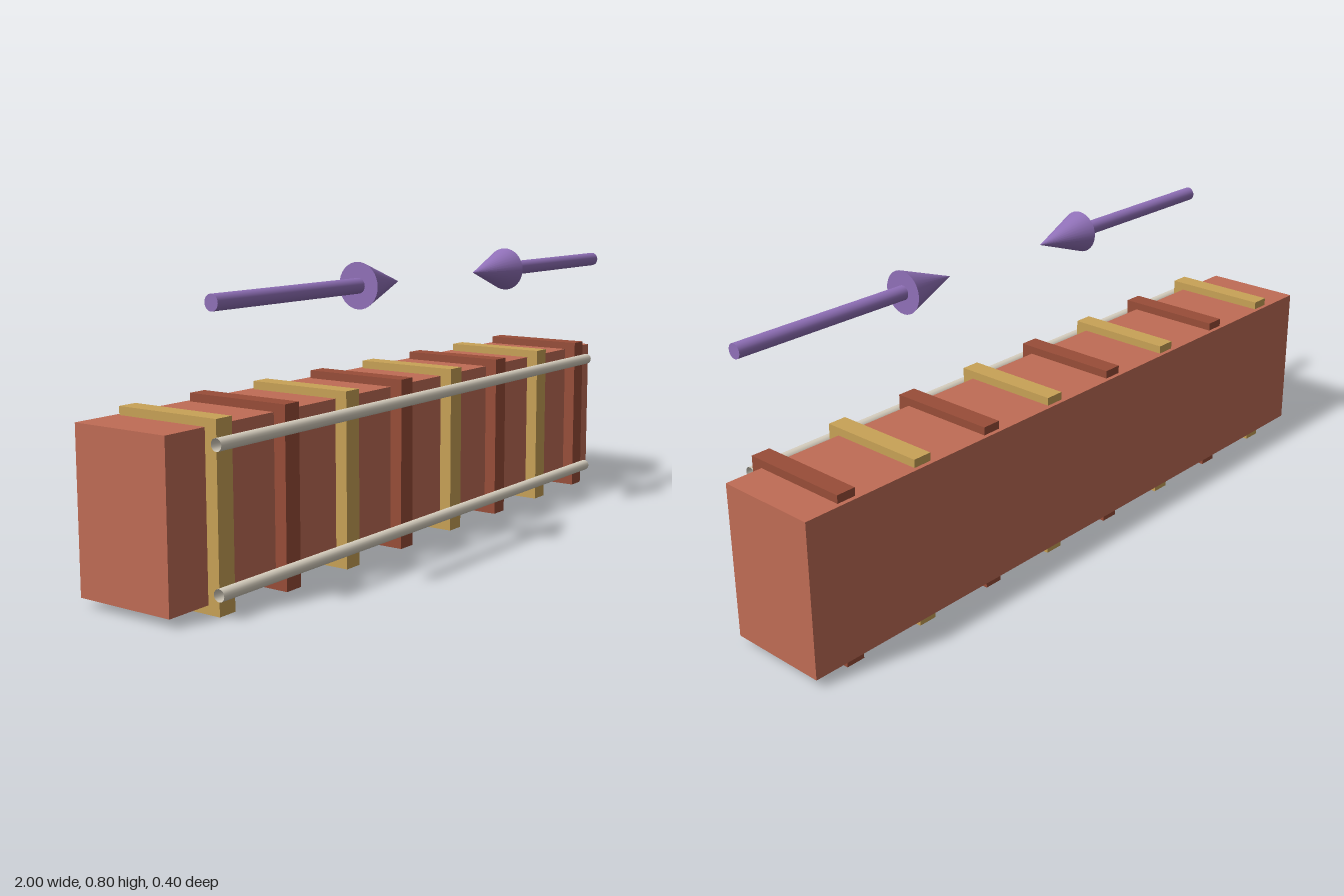
import * as THREE from 'three';

const material = (name, color, extra = {}) =>
  Object.assign(new THREE.MeshStandardMaterial({ color, ...extra }), { name });

export function createModel() {
  const model = new THREE.Group();
  model.name = 'bandedBeam';

  const clay = material('clay', 0xc06c55);
  const rust = material('rust', 0x984d38);
  const gold = material('gold', 0xc8a256);
  const ivory = material('ivory', 0xd8d0c0, { side: THREE.DoubleSide });
  const purple = material('purple', 0x9070b8);

  const add = (parent, name, geometry, mat, x, y, z) => {
    const mesh = new THREE.Mesh(geometry, mat);
    mesh.name = name;
    mesh.position.set(x, y, z);
    parent.add(mesh);
    return mesh;
  };

  // Long rectangular beam
  add(model, 'beam', new THREE.BoxGeometry(2, 0.422, 0.287), clay, 0, 0.234, -0.0585);

  // Alternating bands around the top, front and underside
  const bandGeometry = new THREE.BoxGeometry(0.054, 0.467, 0.31);
  for (let i = 0; i < 8; i++) {
    add(model, `band${i + 1}`, bandGeometry, i % 2 ? rust : gold,
      -0.843 + i * 0.2443, 0.2335, -0.035);
  }

  // Open-ended rods along the front
  const rodGeometry = new THREE.CylinderGeometry(0.016, 0.016, 1.78, 16, 1, true);
  rodGeometry.rotateZ(Math.PI / 2);
  add(model, 'upperRod', rodGeometry, ivory, 0, 0.412, 0.137);
  add(model, 'lowerRod', rodGeometry, ivory, 0, 0.06, 0.137);

  // Two arrows pointing at each other
  const shaftGeometry = new THREE.CylinderGeometry(0.02, 0.02, 0.545, 24);
  const headGeometry = new THREE.ConeGeometry(0.06, 0.175, 32);
  for (const side of [-1, 1]) {
    const arrow = new THREE.Group();
    arrow.name = side < 0 ? 'rightArrow' : 'leftArrow';
    arrow.position.set(0, 0.735, 0.142);
    add(arrow, 'shaft', shaftGeometry, purple, side * 0.63, 0, 0).rotation.z = Math.PI / 2;
    add(arrow, 'head', headGeometry, purple, side * 0.27, 0, 0).rotation.z = side * Math.PI / 2;
    model.add(arrow);
  }

  return model;
}
